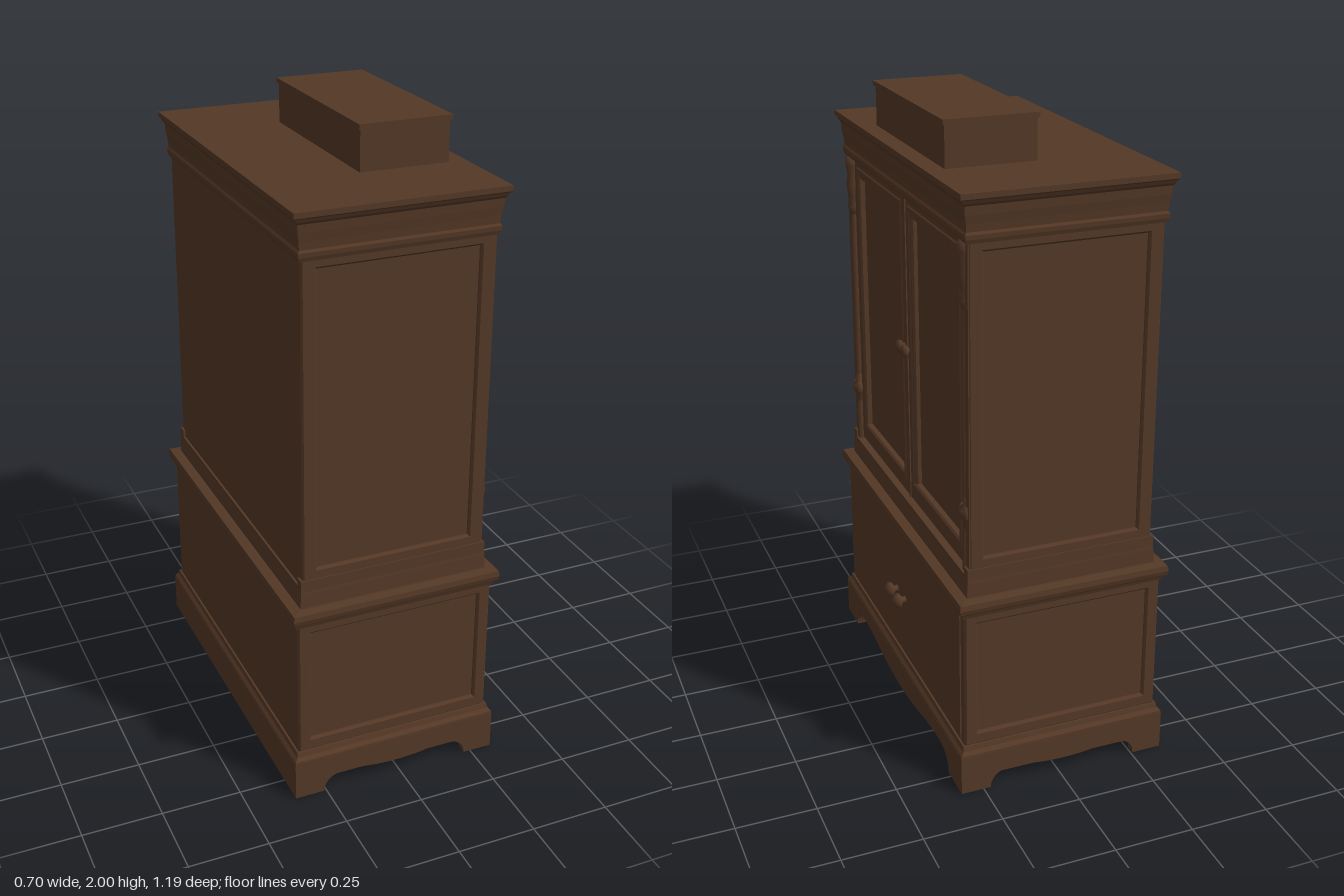
import * as THREE from 'three';

const wood = new THREE.MeshStandardMaterial({ color: 0x543826 });
wood.name = 'dark walnut';
const CX = -0.015; // the carcass sits slightly behind centre because the knobs project

function add(parent, name, geometry, x = 0, y = 0, z = 0, ry = 0) {
  const m = new THREE.Mesh(geometry, wood);
  m.name = name;
  m.position.set(x, y, z);
  m.rotation.y = ry;
  parent.add(m);
  return m;
}

function box(parent, name, x0, x1, y0, y1, z0, z1) {
  return add(parent, name, new THREE.BoxGeometry(x1 - x0, y1 - y0, z1 - z0),
    (x0 + x1) / 2, (y0 + y1) / 2, (z0 + z1) / 2);
}

// Rectangular moulding: profile rows are [half depth, half width, y], bottom to top
function moulding(parent, name, profile) {
  const pos = [];
  const ring = ([a, b, y]) => [[CX - a, y, b], [CX + a, y, b], [CX + a, y, -b], [CX - a, y, -b]];
  const quad = (a, b, c, d) => pos.push(...a, ...b, ...c, ...a, ...c, ...d);
  const rings = profile.map(ring);
  for (let i = 0; i + 1 < rings.length; i++) {
    const lo = rings[i], hi = rings[i + 1];
    for (let k = 0; k < 4; k++) {
      const n = (k + 1) % 4;
      quad(lo[k], lo[n], hi[n], hi[k]);
    }
  }
  quad(...rings[rings.length - 1]);
  quad(...rings[0].slice().reverse());
  const g = new THREE.BufferGeometry();
  g.setAttribute('position', new THREE.Float32BufferAttribute(pos, 3));
  g.computeVertexNormals();
  return add(parent, name, g);
}

// Picture frame with a sloped inner edge, lying in the XY plane and facing +z
function frameGeometry(w, h, border, depth) {
  const rect = (C, a, b) => {
    const s = new C();
    s.moveTo(-a, -b); s.lineTo(a, -b); s.lineTo(a, b); s.lineTo(-a, b); s.closePath();
    return s;
  };
  const e = 0.006;
  const s = rect(THREE.Shape, w / 2 - e, h / 2 - e);
  const bx = border + e;
  s.holes.push(rect(THREE.Path, w / 2 - bx, h / 2 - bx));
  return new THREE.ExtrudeGeometry(s, {
    depth: depth - e, bevelEnabled: true, bevelThickness: e, bevelSize: e, bevelSegments: 1,
  });
}

// Bracket-foot board with a scalloped lower edge
function apronGeometry(half, foot, arch, drop, top) {
  const s = new THREE.Shape();
  const i = half - foot;
  s.moveTo(-half, 0);
  s.lineTo(-i, 0);
  s.bezierCurveTo(-i, 0.03, -i + 0.02, arch, -i + 0.08, arch);
  s.bezierCurveTo(-i * 0.5, arch, -i * 0.4, drop, 0, drop);
  s.bezierCurveTo(i * 0.4, drop, i * 0.5, arch, i - 0.08, arch);
  s.bezierCurveTo(i - 0.02, arch, i, 0.03, i, 0);
  s.lineTo(half, 0);
  s.lineTo(half, top);
  s.lineTo(-half, top);
  s.closePath();
  return new THREE.ExtrudeGeometry(s, { depth: 0.03, bevelEnabled: false, curveSegments: 10 });
}

// Turned knob pointing along +x
function knob(parent, name, x, y, z, r, len) {
  const pts = [[0.5, 0], [0.4, 0.3], [0.95, 0.5], [1, 0.7], [0.6, 0.93], [0, 1]]
    .map(([a, b]) => new THREE.Vector2(a * r, b * len));
  const m = add(parent, name, new THREE.LatheGeometry(pts, 12), x, y, z);
  m.rotation.z = -Math.PI / 2;
}

// Turned upright with rings, along y
function spindle(parent, name, x, z, rows) {
  add(parent, name, new THREE.LatheGeometry(rows.map(([r, y]) => new THREE.Vector2(r, y)), 10), x, 0, z);
}

export function createModel() {
  const root = new THREE.Group();
  root.name = 'armoire';

  // Base with bracket feet
  const base = new THREE.Group();
  base.name = 'base';
  root.add(base);
  add(base, 'frontApron', apronGeometry(0.595, 0.115, 0.068, 0.03, 0.125), 0.292, 0, 0, Math.PI / 2);
  for (const s of [1, -1]) {
    add(base, 'sideApron', apronGeometry(0.337, 0.095, 0.06, 0.045, 0.125),
      CX, 0, s * 0.565, s > 0 ? 0 : Math.PI);
  }
  box(base, 'backBoard', -0.352, -0.33, 0, 0.125, -0.595, 0.595);
  box(base, 'bottomBoard', -0.335, 0.28, 0.032, 0.05, -0.57, 0.57);
  moulding(base, 'baseMoulding', [
    [0.337, 0.595, 0.12], [0.336, 0.594, 0.132], [0.327, 0.584, 0.142], [0.324, 0.58, 0.157], [0.31, 0.57, 0.157],
  ]);

  // Lower chest
  const chest = new THREE.Group();
  chest.name = 'lowerChest';
  root.add(chest);
  box(chest, 'chestBody', -0.333, 0.303, 0.15, 0.62, -0.565, 0.565);
  for (const s of [1, -1]) {
    add(chest, 'chestSideFrame', frameGeometry(0.636, 0.46, 0.03, 0.014),
      CX, 0.385, s * 0.563, s > 0 ? 0 : Math.PI);
    knob(chest, 'drawerKnob', 0.302, 0.378, s * 0.04, 0.025, 0.05);
  }
  box(chest, 'drawerFront', 0.303, 0.307, 0.165, 0.605, -0.545, 0.545);

  // Waist and upper plinth
  moulding(root, 'waistMoulding', [
    [0.324, 0.578, 0.6], [0.328, 0.582, 0.612], [0.335, 0.592, 0.62], [0.338, 0.596, 0.635],
    [0.335, 0.593, 0.652], [0.31, 0.57, 0.656],
  ]);
  moulding(root, 'upperPlinth', [
    [0.304, 0.562, 0.65], [0.301, 0.56, 0.7], [0.299, 0.558, 0.715],
  ]);
  for (const s of [1, -1]) {
    moulding(root, 'plinthStep', [[0.3, 0.559, 0.71], [0.3, 0.559, 0.72], [0.27, 0.55, 0.72]]);
    box(root, 'sidePlinth', -0.315, 0.285, 0.715, 0.745, s > 0 ? 0.53 : -0.559, s > 0 ? 0.559 : -0.53);
  }

  // Upper cabinet
  const cabinet = new THREE.Group();
  cabinet.name = 'upperCabinet';
  root.add(cabinet);
  box(cabinet, 'cabinetBody', -0.308, 0.25, 0.71, 1.74, -0.543, 0.543);
  for (const s of [1, -1]) {
    add(cabinet, 'cabinetSideFrame', frameGeometry(0.586, 1.01, 0.035, 0.014),
      CX, 1.235, s * 0.541, s > 0 ? 0 : Math.PI);
    box(cabinet, 'cornerPost', 0.25, 0.278, 0.72, 1.73,
      s > 0 ? 0.515 : -0.553, s > 0 ? 0.553 : -0.515);

    // Door with sunken panel
    const door = new THREE.Group();
    door.name = s > 0 ? 'leftDoor' : 'rightDoor';
    cabinet.add(door);
    add(door, 'doorFrame', frameGeometry(0.504, 0.99, 0.045, 0.02), 0.248, 1.22, s * 0.258, Math.PI / 2);
    add(door, 'doorMoulding', frameGeometry(0.45, 0.925, 0.012, 0.024), 0.248, 1.235, s * 0.252, Math.PI / 2);
    box(door, 'doorLowerRail', 0.25, 0.266, 0.74, 0.79, s * 0.258 - 0.22, s * 0.258 + 0.22);
    knob(door, 'doorKnob', 0.262, 1.235, s * 0.024, 0.021, 0.036);

    // Carved uprights beside the doors
    const z = s * 0.518;
    spindle(cabinet, 'slimColumn', 0.272, z, [
      [0.013, 0.73], [0.013, 0.85], [0.009, 0.87], [0.012, 1.1], [0.012, 1.45], [0.009, 1.54], [0.013, 1.56], [0.013, 1.72],
    ]);
    spindle(cabinet, 'upperCarving', 0.272, z, [
      [0, 1.52], [0.01, 1.53], [0.019, 1.555], [0.01, 1.568], [0.016, 1.585], [0.02, 1.63],
      [0.016, 1.66], [0.021, 1.69], [0.022, 1.72], [0, 1.725],
    ]);
    spindle(cabinet, 'lowerCarving', 0.272, z, [
      [0, 0.855], [0.012, 0.87], [0.009, 0.89], [0.024, 0.905], [0.024, 0.925], [0.01, 0.94], [0.013, 0.96], [0, 0.98],
    ]);
    for (const k of [-1, 1]) {
      const leaf = add(cabinet, 'carvedLeaf', new THREE.SphereGeometry(0.012, 8, 6), 0.278, 0.915, z + k * 0.018);
      leaf.scale.set(1, 2, 0.8);
    }
  }
  box(cabinet, 'doorMeetingStrip', 0.25, 0.27, 0.725, 1.715, -0.006, 0.006);

  // Cornice with a rounded frieze
  moulding(root, 'cornice', [
    [0.298, 0.558, 1.72], [0.302, 0.562, 1.732], [0.303, 0.563, 1.745], [0.298, 0.558, 1.752],
    [0.3, 0.56, 1.775], [0.304, 0.564, 1.8], [0.306, 0.566, 1.825], [0.311, 0.571, 1.832],
    [0.316, 0.576, 1.842], [0.321, 0.58, 1.846], [0.321, 0.58, 1.862], [0.31, 0.57, 1.862],
  ]);

  // Box standing on the top
  box(root, 'topBox', -0.027, 0.25, 1.855, 1.988, -0.306, 0.306);
  box(root, 'topBoxLid', -0.033, 0.257, 1.986, 2, -0.312, 0.312);
  return root;
}
